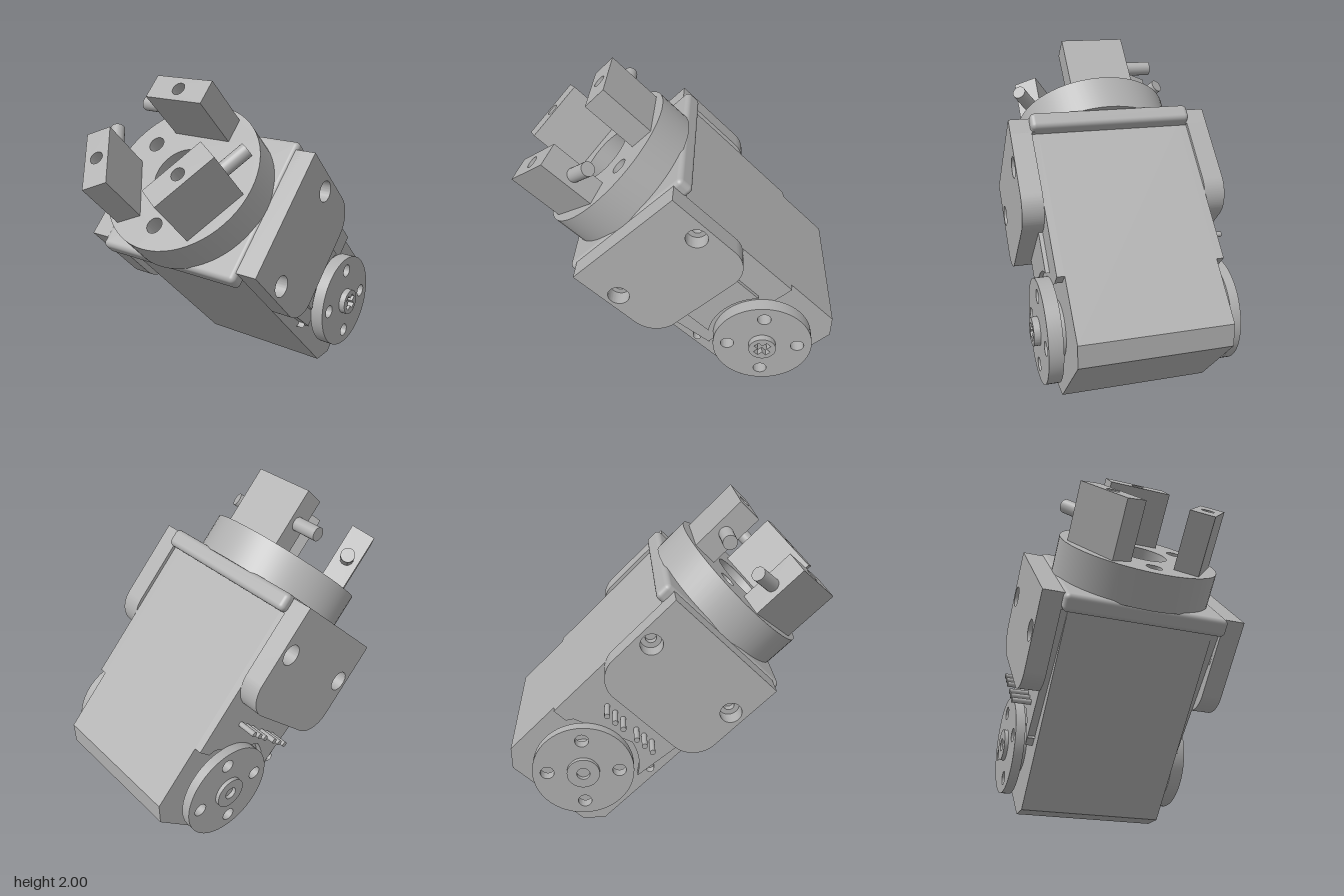
import * as THREE from 'three';
import { toCreasedNormals } from 'three/addons/utils/BufferGeometryUtils.js';
import { RoundedBoxGeometry } from 'three/addons/geometries/RoundedBoxGeometry.js';

export function createModel() {
  const model = new THREE.Group();
  model.name = 'gripperJoint';
  const grey = new THREE.MeshStandardMaterial({ color: 0xb0b0b0 });
  grey.name = 'machined grey';

  // Everything is built upright around the pivot axis, then tilted forward
  const tilt = new THREE.Group();
  tilt.name = 'tiltedAssembly';
  tilt.rotation.x = Math.PI / 4;
  tilt.position.set(0, 0.44, -0.55);
  model.add(tilt);

  const add = (name, geo, parent = tilt) => {
    const mesh = new THREE.Mesh(geo, grey);
    mesh.name = name;
    parent.add(mesh);
    return mesh;
  };
  const extrude = (shape, depth) => toCreasedNormals(
    new THREE.ExtrudeGeometry(shape, { depth, bevelEnabled: false, curveSegments: 32 }), 0.5);
  // Extrusion along x; shape coordinates are (-z, y)
  const alongX = (shape, x0, x1) => extrude(shape, x1 - x0).rotateY(Math.PI / 2).translate(x0, 0, 0);
  // Extrusion along y; shape coordinates are (x, -z)
  const alongY = (shape, y0, y1) => extrude(shape, y1 - y0).rotateX(-Math.PI / 2).translate(0, y0, 0);
  // Span between two distances on the chosen side of the model
  const onSide = (shape, side, a, b) => (side > 0 ? alongX(shape, a, b) : alongX(shape, -b, -a));
  const poly = (pts) => new THREE.Shape(pts.map(([x, y]) => new THREE.Vector2(x, y)));
  const rect = (x0, y0, x1, y1) => poly([[x0, y0], [x1, y0], [x1, y1], [x0, y1]]);
  const disc = (r, x = 0, y = 0) => new THREE.Shape().absarc(x, y, r, 0, Math.PI * 2, false);
  const withHoles = (shape, ...holes) => {
    shape.holes.push(...holes);
    return shape;
  };

  // Motor case with chamfered lower corners
  add('motorCase', alongX(poly([
    [-0.294, -0.328], [0.294, -0.328], [0.393, -0.23], [0.393, 1.12], [-0.393, 1.12], [-0.393, -0.23],
  ]), -0.455, 0.455));

  const a = Math.atan2(0.17, 0.297);
  for (const side of [1, -1]) {
    const label = side > 0 ? 'left' : 'right';

    // Case side cover, cut away around the rotating horn
    const cover = new THREE.Shape();
    cover.moveTo(-0.393, 0.17);
    cover.absarc(0, 0, 0.342, Math.PI - a, a, true);
    cover.lineTo(0.393, 0.17);
    cover.lineTo(0.393, 1.12);
    cover.lineTo(-0.393, 1.12);
    withHoles(cover, disc(0.026, -0.318, 0.26), disc(0.026, 0.318, 0.26));
    if (side < 0) withHoles(cover, rect(-0.21, 0.36, 0.21, 0.56));
    add(label + 'SideCover', onSide(cover, side, 0.455, 0.5));

    // Bracket ear with rounded lower corners and two bolt holes
    const r = 0.17, w = 0.415, low = 0.53;
    const ear = new THREE.Shape();
    ear.moveTo(-w, 1.2);
    ear.lineTo(-w, low + r);
    ear.absarc(-w + r, low + r, r, Math.PI, Math.PI * 1.5, false);
    ear.absarc(w - r, low + r, r, Math.PI * 1.5, Math.PI * 2, false);
    ear.lineTo(w, 1.2);
    withHoles(ear, disc(0.065, -0.325, 0.92), disc(0.065, 0.325, 0.92));
    add(label + 'BracketEar', onSide(ear, side, 0.5, 0.63));
    for (const z of [-0.325, 0.325]) {
      add(label + 'EarBolt', onSide(withHoles(disc(0.063, z, 0.92), disc(0.032, z, 0.92)), side, 0.5, 0.54));
    }

    // Rotating horn with four holes, and the hub behind it
    const horn = disc(0.31);
    for (let i = 0; i < 4; i++) {
      const t = Math.PI / 4 + i * Math.PI / 2;
      withHoles(horn, disc(0.042, 0.22 * Math.cos(t), 0.22 * Math.sin(t)));
    }
    add(label + 'Horn', onSide(horn, side, 0.5, side > 0 ? 0.585 : 0.56));
    add(label + 'HornHub', onSide(disc(0.165), side, 0.45, 0.51));
  }

  // Raised strip beside the left horn
  const strip = new THREE.Shape();
  const b = Math.acos(0.21 / 0.342);
  strip.absarc(0, 0, 0.342, Math.PI - b, b, true);
  strip.lineTo(0.21, 0.7);
  strip.lineTo(-0.21, 0.7);
  add('leftRaisedStrip', alongX(strip, 0.49, 0.525));

  // Cross-head screw on the left, pierced boss on the right
  const l = 0.055, t = 0.019;
  const cross = poly([[-t, -l], [t, -l], [t, -t], [l, -t], [l, t], [t, t],
    [t, l], [-t, l], [-t, t], [-l, t], [-l, -t], [-t, -t]]);
  add('hornScrew', alongX(withHoles(disc(0.085), cross), 0.585, 0.625));
  add('hornBoss', alongX(withHoles(disc(0.1), disc(0.04)), -0.585, -0.56));

  // Two rows of connector pins on the right side
  for (const z of [-0.12, 0.12]) {
    add('connectorHousing', new THREE.BoxGeometry(0.04, 0.09, 0.2)).position.set(-0.465, 0.41, z);
    for (const dz of [-0.065, 0, 0.065]) {
      const pin = add('connectorPin', new THREE.CylinderGeometry(0.017, 0.017, 0.16, 16));
      pin.rotation.z = Math.PI / 2;
      pin.position.set(-0.54, 0.41, z + dz);
    }
  }

  // Bracket bridge with rounded lips front and back
  add('bracketBridge', new THREE.BoxGeometry(1.26, 0.1, 0.83)).position.y = 1.15;
  add('bracketLip', new RoundedBoxGeometry(1.01, 0.11, 0.945, 4, 0.03)).position.y = 1.155;

  // Gripper plate with a centre bore and three bolt holes
  const plate = withHoles(disc(0.5), disc(0.18));
  for (let i = 0; i < 3; i++) {
    const ang = -Math.PI / 2 + i * Math.PI * 2 / 3;
    withHoles(plate, disc(0.05, 0.345 * Math.cos(ang), 0.345 * Math.sin(ang)));
  }
  add('gripperPlate', alongY(plate, 1.2, 1.42));

  // Three jaws between the bolt holes, each with a side peg
  for (const [angle, pegSide] of [[0, -1], [Math.PI * 2 / 3, 1], [-Math.PI * 2 / 3, -1]]) {
    const jaw = new THREE.Group();
    jaw.name = 'jaw';
    jaw.rotation.y = angle;
    tilt.add(jaw);
    add('jawBlock', alongY(withHoles(rect(-0.2, 0.27, 0.2, 0.424), disc(0.04, 0, 0.347)), 1.42, 1.78), jaw);
    const peg = add('jawPeg', new THREE.CylinderGeometry(0.043, 0.043, 0.17, 24), jaw);
    peg.rotation.z = Math.PI / 2;
    // Pegs of the lower jaws point towards the upper jaw
    peg.position.set(pegSide * 0.28, 1.59, -0.347);
  }
  return model;
}
